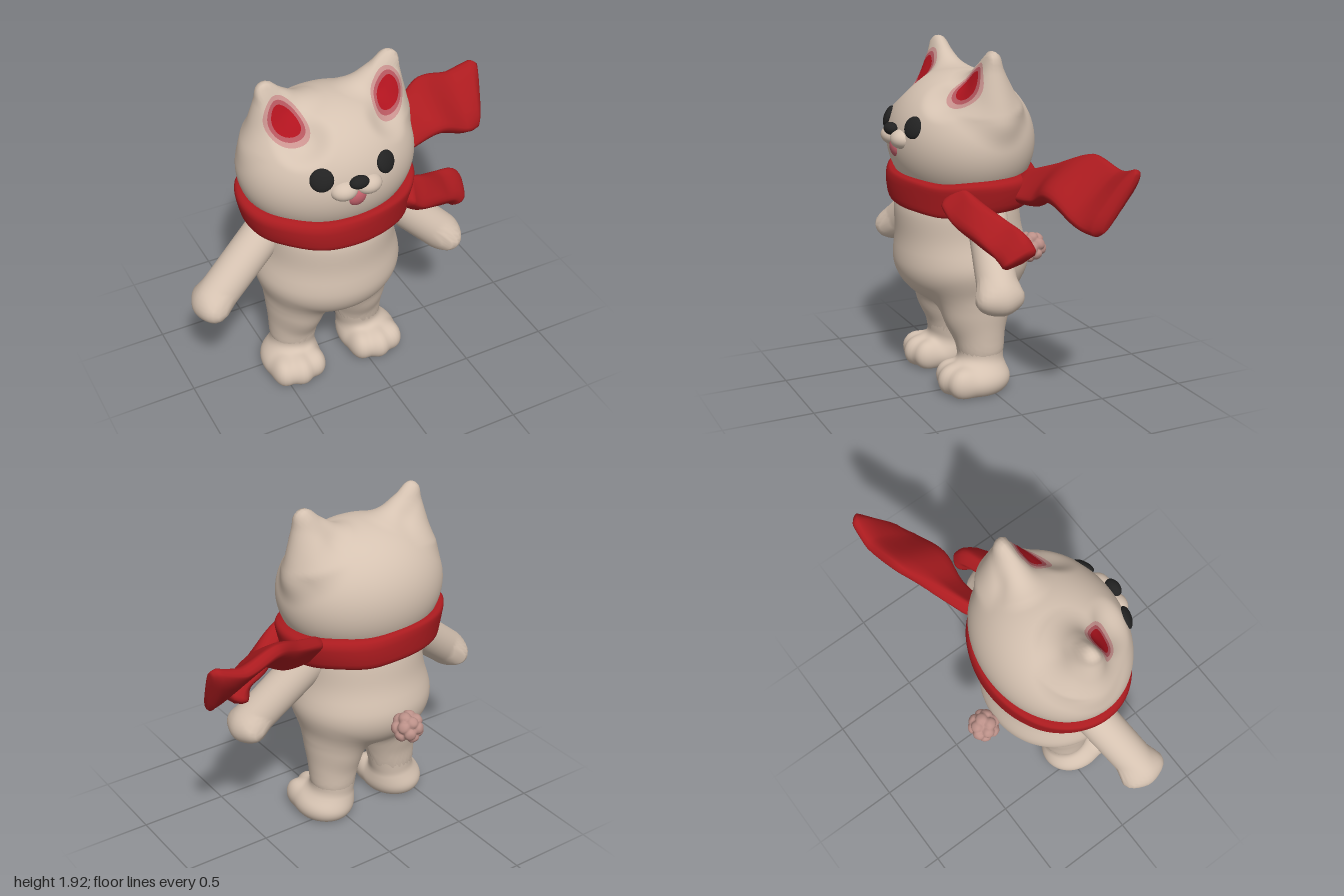
import * as THREE from 'three';
import { mergeVertices } from 'three/addons/utils/BufferGeometryUtils.js';
import { ParametricGeometry } from 'three/addons/geometries/ParametricGeometry.js';

const V = (x, y, z) => new THREE.Vector3(x, y, z);
const CX = -0.18; // middle of the body; the scarf streams out to one side

// ---- distance rules used to sculpt the soft skin parts ----
const ellipsoid = (c, r) => (p) => {
  const x = (p.x - c[0]) / r[0], y = (p.y - c[1]) / r[1], z = (p.z - c[2]) / r[2];
  const k0 = Math.hypot(x, y, z), k1 = Math.hypot(x / r[0], y / r[1], z / r[2]);
  return k1 < 1e-6 ? -Math.min(...r) : (k0 * (k0 - 1)) / k1;
};
const limb = (a, b, ra, rb) => {
  const A = V(...a), D = V(...b).sub(A), L = D.lengthSq(), q = V(0, 0, 0);
  return (p) => {
    q.copy(p).sub(A);
    const t = THREE.MathUtils.clamp(q.dot(D) / L, 0, 1);
    return q.addScaledVector(D, -t).length() - (ra + (rb - ra) * t);
  };
};
const smin = (a, b, k) => {
  const h = Math.max(k - Math.abs(a - b), 0) / k;
  return Math.min(a, b) - (h * h * k) / 4;
};
const blend = (k, ...fs) => (p) => fs.map((f) => f(p)).reduce((a, b) => smin(a, b, k));
const carve = (k, f, cut) => (p) => -smin(-f(p), cut(p), k);

// Walk from start along dir until the surface is met, never further than reach
function march(sdf, start, dir, reach) {
  const p = start.clone();
  for (let i = 0, t = 0; i < 90; i++) {
    const d = sdf(p);
    if (d < 2e-4) break;
    t = Math.min(t + d * 0.8, reach);
    p.copy(start).addScaledVector(dir, t);
  }
  return p;
}

function smooth(geo) {
  geo.deleteAttribute('uv');
  geo.deleteAttribute('normal');
  const g = mergeVertices(geo, 1e-5);
  g.computeVertexNormals();
  return g;
}

// Sphere whose vertices are shrunk onto a sculpted shape
function sculpt(center, sdf, w, h) {
  const g = new THREE.SphereGeometry(1, w, h), pos = g.attributes.position, c = V(...center);
  for (let i = 0; i < pos.count; i++) {
    const d = V(0, 0, 0).fromBufferAttribute(pos, i).normalize();
    const p = march(sdf, c.clone().addScaledVector(d, 1.1), d.clone().negate(), 1.09);
    pos.setXYZ(i, p.x, p.y, p.z);
  }
  return smooth(g);
}

// Soft band swept along a path: rows are [centre, half-width vector], thick is half thickness
function band(rows, thick, closed, n) {
  const path = new THREE.CatmullRomCurve3(rows.map((r) => V(...r[0])), closed);
  const width = new THREE.CatmullRomCurve3(rows.map((r) => V(...r[1])), closed);
  const sq = (x) => Math.sign(x) * Math.abs(x) ** 0.6;
  return smooth(new ParametricGeometry((u, v, out) => {
    const s = closed ? u % 1 : u, f = (v % 1) * Math.PI * 2;
    const U = width.getPoint(s), T = path.getTangent(s);
    const N = U.clone().cross(T).normalize();
    const end = closed ? 1 : Math.sqrt(Math.min(1, Math.max(0, Math.min(s, 1 - s) * 14)));
    const fold = 1 + 0.15 * Math.sin(2 * f + s * 4 * Math.PI);
    out.copy(path.getPoint(s))
      .addScaledVector(U, sq(Math.cos(f)) * (end > 0 ? 0.6 + 0.4 * end : 0))
      .addScaledVector(N, sq(Math.sin(f)) * thick * end * fold);
  }, n, 24));
}

export function createModel() {
  const group = new THREE.Group();
  const mat = (name, color, side = THREE.FrontSide) => {
    const m = new THREE.MeshStandardMaterial({ color, side });
    m.name = name;
    return m;
  };
  const fur = mat('cream fur', 0xd5c2b1);
  const red = mat('scarf red', 0xab1b1f, THREE.DoubleSide);
  const black = mat('black', 0x222222);
  const pink = mat('tongue pink', 0xc4626c);
  const tailPink = mat('tail pink', 0xbb9088);
  const earColors = [
    mat('ear rim pink', 0xcb9490, THREE.DoubleSide),
    mat('ear middle pink', 0xb85860, THREE.DoubleSide),
    mat('ear inner red', 0xb3141f, THREE.DoubleSide),
  ];
  const add = (name, geo, material) => {
    const m = new THREE.Mesh(geo, material);
    m.name = name;
    group.add(m);
    return m;
  };
  const ball = (name, material, p, s) => {
    const m = add(name, new THREE.SphereGeometry(1, 28, 20), material);
    m.position.set(...p);
    m.scale.set(...s);
    return m;
  };

  // Head with two blended, hollowed ears, each a wide triangle of limbs meeting at the tip
  const earX = (side, x) => -0.15 + side * x;
  const ears = [-1, 1].map((s) => blend(0.03, ...[
    [0.29, 1.62, 0.17], [0.37, 1.55, 0.1], [0.17, 1.69, 0.1],
  ].map(([x, y, r]) => limb([earX(s, x), y, 0.02], [earX(s, 0.34), 1.86, 0.04], r, 0.048))));
  const skull = ellipsoid([-0.175, 1.4, 0.05], [0.485, 0.38, 0.39]);
  const headShape = [-1, 1].reduce(
    (f, s) => carve(0.04, f, limb([earX(s, 0.3), 1.92, 0.255], [earX(s, 0.3), 1.78, 0.34], 0.19, 0.2)),
    blend(0.07, skull, ...ears));
  add('head', sculpt([-0.175, 1.4, 0.05], headShape, 128, 104), fur);

  // Ear linings: nested egg-shaped films that follow the ear surface
  for (const s of [-1, 1]) {
    [[0.1, 0.118], [0.082, 0.097], [0.064, 0.076]].forEach(([a, b], i) => {
      const film = new ParametricGeometry((u, v, out) => {
        const t = (v % 1) * Math.PI * 2, r = Math.max(u, 0.001);
        const across = r * a * Math.cos(t) * (1 - 0.25 * Math.sin(t));
        const x = earX(s, 0.292) + across + s * r * 0.018 * Math.sin(t);
        out.copy(march(headShape, V(x, 1.738 + r * b * Math.sin(t), 0.7), V(0, 0, -1), 0.68));
        out.z += 0.003 + 0.003 * i;
      }, 10, 36);
      add((s < 0 ? 'right' : 'left') + 'EarLining' + (i + 1), smooth(film), earColors[i]);
    });
  }

  // Face
  for (const s of [-1, 1]) {
    const side = s < 0 ? 'right' : 'left';
    const eye = ball(side + 'Eye', black, [CX - 0.004 + s * 0.179, 1.51, 0.392], [0.062, 0.061, 0.026]);
    eye.rotation.set(-0.42, s * 0.42, 0);
    ball(side + 'Cheek', fur, [CX - 0.004 + s * 0.068, 1.43, 0.413], [0.075, 0.054, 0.066]);
  }
  ball('nose', black, [CX - 0.004, 1.479, 0.452], [0.053, 0.034, 0.036]);
  ball('tongue', pink, [CX - 0.004, 1.37, 0.425], [0.052, 0.052, 0.03]).rotation.x = 0.2;

  // Torso, blended into deep hips
  const thighs = [-1, 1].map((s) => blend(0.03,
    limb([CX + s * 0.185, 0.5, 0.035], [CX + s * 0.206, 0.25, 0.022], 0.172, 0.135),
    ellipsoid([CX + s * 0.185, 0.53, 0.04], [0.165, 0.29, 0.205])));
  const trunk = blend(0.12,
    ellipsoid([CX, 0.73, 0.047], [0.41, 0.285, 0.375]),
    ellipsoid([CX, 1.0, 0.07], [0.365, 0.3, 0.345]));
  add('torso', sculpt([CX, 0.78, 0.05], blend(0.08, trunk, blend(0.01, ...thighs)), 88, 100), fur);

  // Legs with flat soles and three toes
  for (const s of [-1, 1]) {
    const fx = CX + s * 0.245;
    const toes = [-1, 0, 1].map((t) =>
      ellipsoid([fx + t * 0.092, 0.075, t ? 0.185 : 0.212], [0.064, 0.085, 0.08]));
    const foot = blend(0.03, ellipsoid([fx, 0.07, 0.07], [0.17, 0.116, 0.2]), ...toes);
    const shin = limb([CX + s * 0.194, 0.39, 0.03], [CX + s * 0.212, 0.15, 0.018], 0.151, 0.122);
    const leg = carve(0.012, blend(0.05, shin, foot), (p) => p.y);
    add(s < 0 ? 'rightLeg' : 'leftLeg', sculpt([CX + s * 0.22, 0.12, 0.05], leg, 72, 60), fur);
  }

  // Arms ending in round three-fingered paws
  const arm = (name, a, b, out) => {
    const fingers = [-1, 0, 1].map((t) =>
      ellipsoid([b[0] + out * (t ? 0.022 : 0.042), b[1] - (t ? 0.018 : 0.03), b[2] + t * 0.065], [0.07, 0.07, 0.07]));
    const mid = a.map((v, i) => (v + b[i]) / 2);
    add(name, sculpt(mid, blend(0.04, limb(a, b, 0.11, 0.107), ...fingers), 72, 60), fur);
  };
  arm('rightArm', [-0.5, 1.05, 0.04], [-0.885, 0.745, 0.14], -1);
  arm('leftArm', [0.14, 1.05, 0.04], [0.495, 0.705, 0.14], 1);

  // Bobbly pompom tail
  const pom = new THREE.IcosahedronGeometry(1, 11), pp = pom.attributes.position;
  const knobs = Array.from({ length: 18 }, (_, i) => {
    const y = 1 - (2 * i + 1) / 18, r = Math.sqrt(1 - y * y);
    return V(r * Math.cos(i * 2.4), y, r * Math.sin(i * 2.4));
  });
  for (let i = 0; i < pp.count; i++) {
    const d = V(0, 0, 0).fromBufferAttribute(pp, i).normalize();
    const near = Math.max(...knobs.map((k) => k.dot(d)));
    d.multiplyScalar(0.067 + 0.025 * THREE.MathUtils.smoothstep(near, 0.82, 1));
    pp.setXYZ(i, d.x, d.y, d.z);
  }
  add('tail', smooth(pom), tailPink).position.set(CX, 0.705, -0.4);

  // Scarf: a loop round the neck and two loose ends
  const loop = Array.from({ length: 16 }, (_, i) => {
    const t = (i / 16) * Math.PI * 2, c = Math.cos(t), s = Math.sin(t);
    const y = 1.172 - 0.035 * Math.max(s, 0) - 0.012 * c + 0.006 * Math.sin(i * 2.3);
    return [[-0.175 + 0.445 * c, y, 0.045 + 0.35 * s], [0.012 * c, 0.09, 0.012 * s]];
  });
  add('scarfLoop', band(loop, 0.044, true, 96), red);
  add('scarfLongEnd', band([
    [[0.18, 1.18, -0.1], [0, 0.07, -0.04]],
    [[0.42, 1.235, -0.18], [0, 0.095, -0.09]],
    [[0.6, 1.305, -0.22], [0, 0.105, -0.14]],
    [[0.82, 1.24, -0.265], [0, 0.125, -0.14]],
    [[0.985, 1.255, -0.29], [0.035, 0.18, -0.09]],
  ], 0.045, false, 60), red);
  add('scarfShortEnd', band([
    [[0.17, 1.18, 0.26], [0.02, 0.055, -0.05]],
    [[0.29, 1.1, 0.225], [0.02, 0.065, -0.065]],
    [[0.45, 1.02, 0.15], [0.02, 0.055, -0.08]],
    [[0.57, 0.965, 0.1], [0.025, 0.055, -0.08]],
    [[0.625, 0.895, 0.07], [0.03, 0.045, -0.08]],
  ], 0.055, false, 40), red);

  return group;
}
